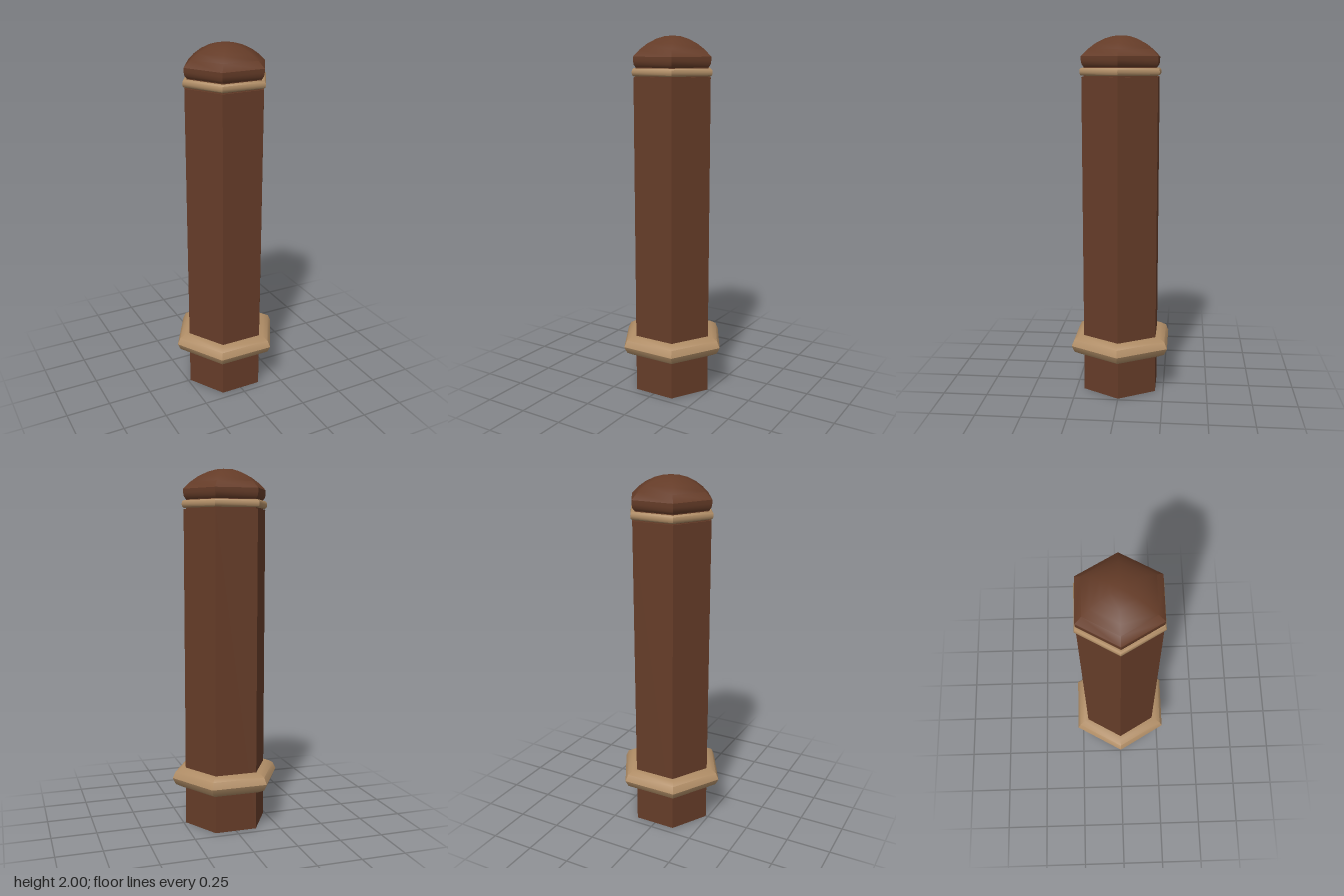
import * as THREE from 'three';
import { toCreasedNormals } from 'three/addons/utils/BufferGeometryUtils.js';

const wood = new THREE.MeshStandardMaterial({ name: 'dark brown wood', color: 0x653c28 });
const tan = new THREE.MeshStandardMaterial({ name: 'tan trim', color: 0xb08d66 });

const SIDES = 6;
const CREASE = THREE.MathUtils.degToRad(42);

// Hexagonal turning of a [radius, y] profile (bottom to top), corners on the x axis
function hexTurned(name, profile, material) {
  const points = profile.map(([r, y]) => new THREE.Vector2(r, y));
  const lathe = new THREE.LatheGeometry(points, SIDES, Math.PI / 2);
  const mesh = new THREE.Mesh(toCreasedNormals(lathe, CREASE), material);
  mesh.name = name;
  return mesh;
}

export function createModel() {
  const post = new THREE.Group();
  post.name = 'hexagonalPost';

  // Shaft with a flat shoulder and a narrower neck under the cap
  post.add(hexTurned('shaft', [[0.236, 0], [0.236, 1.782], [0.222, 1.782], [0.222, 1.84]], wood));

  // Tan underside of the shaft
  const foot = new THREE.Mesh(new THREE.CircleGeometry(0.236, SIDES), tan);
  foot.rotation.x = Math.PI / 2;
  foot.name = 'underside';
  post.add(foot);

  // Wide collar near the base
  post.add(hexTurned('baseCollar', [
    [0.225, 0.22], [0.262, 0.22], [0.295, 0.237], [0.313, 0.274],
    [0.295, 0.311], [0.262, 0.329], [0.225, 0.329],
  ], tan));

  // Thin collar under the cap
  post.add(hexTurned('topCollar', [
    [0.215, 1.788], [0.236, 1.788], [0.244, 1.794], [0.247, 1.808],
    [0.244, 1.822], [0.236, 1.829], [0.215, 1.829],
  ], tan));

  // Domed cap
  post.add(hexTurned('cap', [
    [0.205, 1.829], [0.222, 1.833], [0.234, 1.848], [0.238, 1.868], [0.238, 1.889],
    [0.2, 1.925], [0.155, 1.956], [0.1, 1.982], [0.05, 1.996], [0, 2],
  ], wood));

  return post;
}
